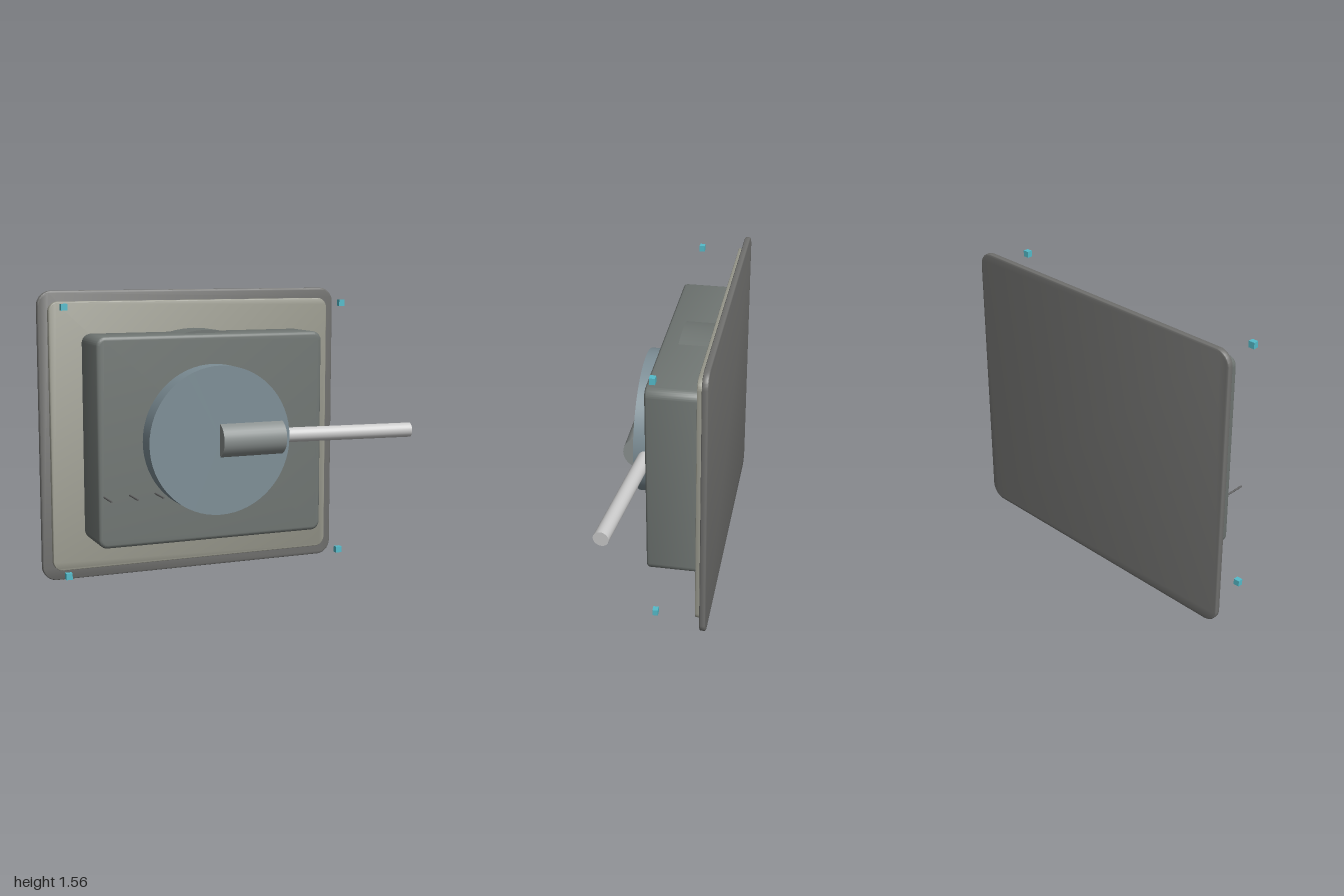
import * as THREE from 'three';
import { toCreasedNormals } from 'three/addons/utils/BufferGeometryUtils.js';

const CX = -0.135, CY = 0.782; // centre of the panel and dial

export function createModel() {
  const group = new THREE.Group();

  const add = (name, geometry, color, x, y, z) => {
    const mesh = new THREE.Mesh(geometry, new THREE.MeshStandardMaterial({ color }));
    mesh.name = name;
    mesh.position.set(x, y, z);
    group.add(mesh);
    return mesh;
  };

  // Rounded rectangle slab with softened edges, spanning z0..z1
  const slab = (name, w, h, r, bevel, z0, z1, color) => {
    const a = w / 2 - bevel, b = h / 2 - bevel, c = r - bevel;
    const s = new THREE.Shape();
    s.moveTo(-a + c, -b);
    s.lineTo(a - c, -b);
    s.absarc(a - c, -b + c, c, -Math.PI / 2, 0);
    s.lineTo(a, b - c);
    s.absarc(a - c, b - c, c, 0, Math.PI / 2);
    s.lineTo(-a + c, b);
    s.absarc(-a + c, b - c, c, Math.PI / 2, Math.PI);
    s.lineTo(-a, -b + c);
    s.absarc(-a + c, -b + c, c, Math.PI, Math.PI * 1.5);
    const g = new THREE.ExtrudeGeometry(s, {
      depth: z1 - z0 - 2 * bevel, bevelSize: bevel, bevelThickness: bevel,
      bevelSegments: 4, curveSegments: 8,
    });
    g.translate(0, 0, z0 + bevel);
    return add(name, toCreasedNormals(g, 0.6), color, CX, CY, 0);
  };

  // Disc facing the front, spanning z0..z1
  const disc = (name, r, z0, z1, color) => {
    const g = new THREE.CylinderGeometry(r, r, z1 - z0, 64).rotateX(Math.PI / 2);
    return add(name, g, color, CX, CY, (z0 + z1) / 2);
  };

  // Stacked panels and housing
  slab('backPlate', 1.73, 1.564, 0.08, 0.008, -0.262, -0.23, 0x70706e);
  slab('innerPlate', 1.625, 1.45, 0.055, 0.005, -0.232, -0.2, 0x9c9c90);
  slab('housing', 1.28, 1.11, 0.05, 0.02, -0.202, 0.09, 0x707673);
  disc('innerDrum', 0.572, -0.2, 0, 0x707673);
  disc('frontDisc', 0.397, 0.08, 0.2, 0x7d8e96);

  // Horizontal barrel half sunk into the disc
  const barrel = new THREE.CylinderGeometry(0.095, 0.095, 0.36, 32).rotateZ(Math.PI / 2);
  add('barrel', barrel, 0x8a908f, 0.04, CY, 0.167);

  // Rod leaning slightly forward
  const start = new THREE.Vector3(0.22, CY, 0.132), end = new THREE.Vector3(0.996, CY, 0.212);
  const dir = end.clone().sub(start);
  const mid = start.clone().add(end).multiplyScalar(0.5);
  const rod = add('rod', new THREE.CylinderGeometry(0.04, 0.04, dir.length(), 24), 0xcccccc, mid.x, mid.y, mid.z);
  rod.quaternion.setFromUnitVectors(new THREE.Vector3(0, 1, 0), dir.normalize());

  // Three thin pins on the housing front
  for (let i = 0; i < 3; i++) {
    const pin = new THREE.CylinderGeometry(0.005, 0.005, 0.145, 10).rotateX(Math.PI / 2);
    add('pin', pin, 0x606060, -0.745 + i * 0.14, 0.505, 0.15);
  }

  // Small corner cubes standing off the panel
  for (const sx of [-1, 1]) for (const sy of [-1, 1]) {
    add('cornerCube', new THREE.BoxGeometry(0.034, 0.034, 0.029), 0x55bccb, -0.131 + sx * 0.79, 0.785 + sy * 0.702, 0.013);
  }

  return group;
}
